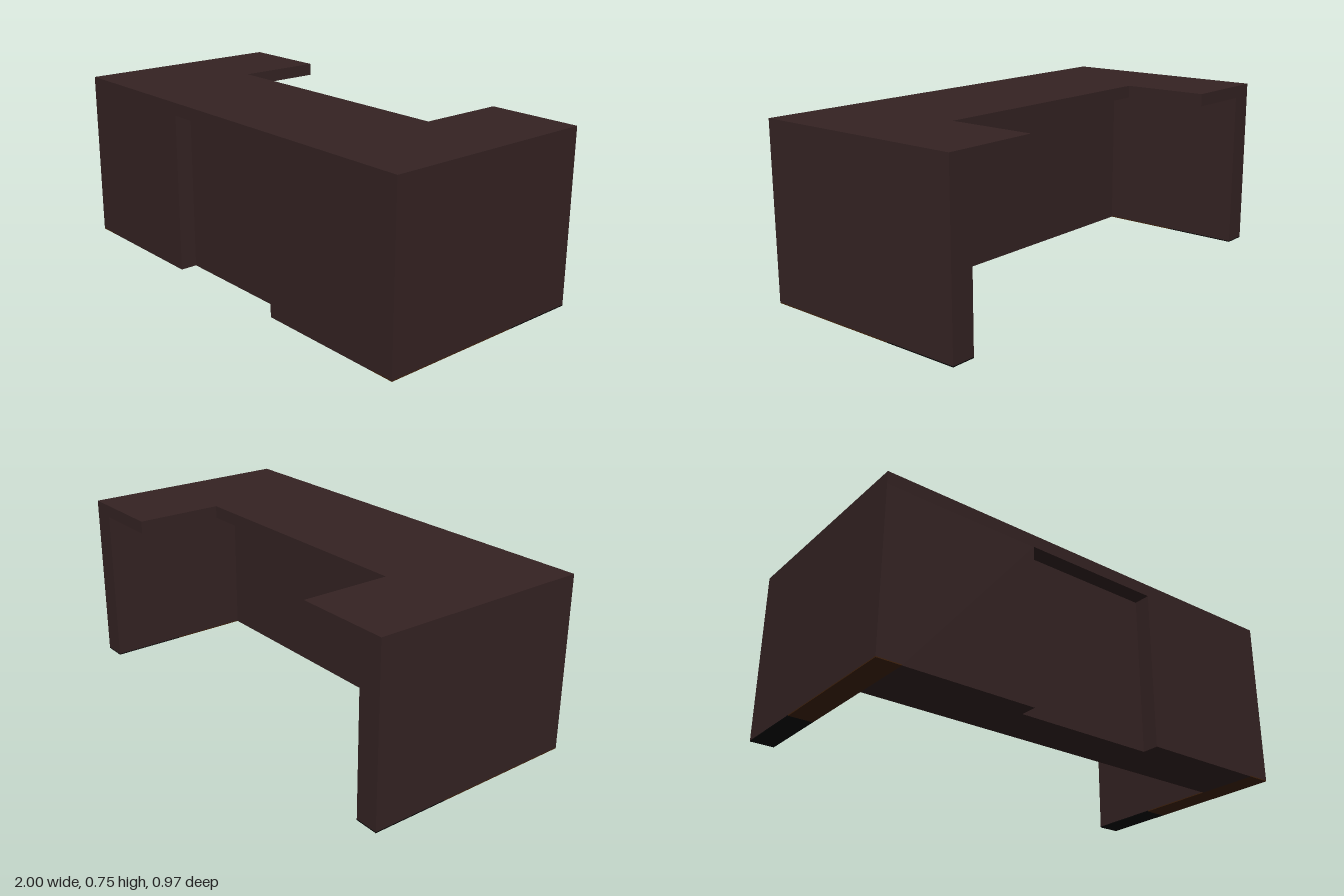
import * as THREE from 'three';

export function createModel() {
  const desk = new THREE.Group();
  desk.name = 'desk';

  const darkWood = new THREE.MeshStandardMaterial({ color: 0x352323 });
  darkWood.name = 'darkWood';
  const brown = new THREE.MeshStandardMaterial({ color: 0x42230c });
  brown.name = 'brown';
  const black = new THREE.MeshStandardMaterial({ color: 0x050505 });
  black.name = 'black';

  const W = 1, D = 0.485;           // half width and half depth
  const TOP = 0.755, UNDER = 0.7;   // worktop faces
  const LEG = 0.104;                // side panel thickness
  const INNER = 0.207;              // back face of the front panel
  const PAD = 0.004;                // base strip thickness

  // Box given by its minimum and maximum corners
  const box = (name, material, [x0, y0, z0], [x1, y1, z1]) => {
    const mesh = new THREE.Mesh(new THREE.BoxGeometry(x1 - x0, y1 - y0, z1 - z0), material);
    mesh.position.set((x0 + x1) / 2, (y0 + y1) / 2, (z0 + z1) / 2);
    mesh.name = name;
    desk.add(mesh);
  };

  // U-shaped worktop, drawn in plan with shape y = -z
  const plan = new THREE.Shape([
    [-W, -D], [W, -D], [W, D], [0.585, D],
    [0.585, 0.097], [-0.585, 0.097], [-0.585, D], [-W, D],
  ].map(([x, y]) => new THREE.Vector2(x, y)));
  const topGeometry = new THREE.ExtrudeGeometry(plan, { depth: TOP - UNDER, bevelEnabled: false });
  topGeometry.rotateX(-Math.PI / 2);
  const worktop = new THREE.Mesh(topGeometry, darkWood);
  worktop.position.y = UNDER;
  worktop.name = 'worktop';
  desk.add(worktop);

  // Side panels, their base strips and the thick front blocks
  for (const [side, s] of [['left', 1], ['right', -1]]) {
    const span = (a, b) => (s > 0 ? [a, b] : [-b, -a]);
    const [l0, l1] = span(W - LEG, W);
    box(side + 'SidePanel', darkWood, [l0, PAD, -D], [l1, UNDER, D]);
    box(side + 'BackBaseStrip', black, [l0, 0, -D], [l1, PAD, -0.15]);
    box(side + 'FrontBaseStrip', brown, [l0, 0, -0.15], [l1, PAD, D]);
    const [f0, f1] = span(0.318, W - LEG);
    box(side + 'FrontBlock', darkWood, [f0, 0, INNER], [f1, UNDER, D]);
  }

  // Recessed centre of the front
  box('recessedPanel', darkWood, [-0.318, 0, INNER], [0.318, UNDER, 0.41]);

  return desk;
}
